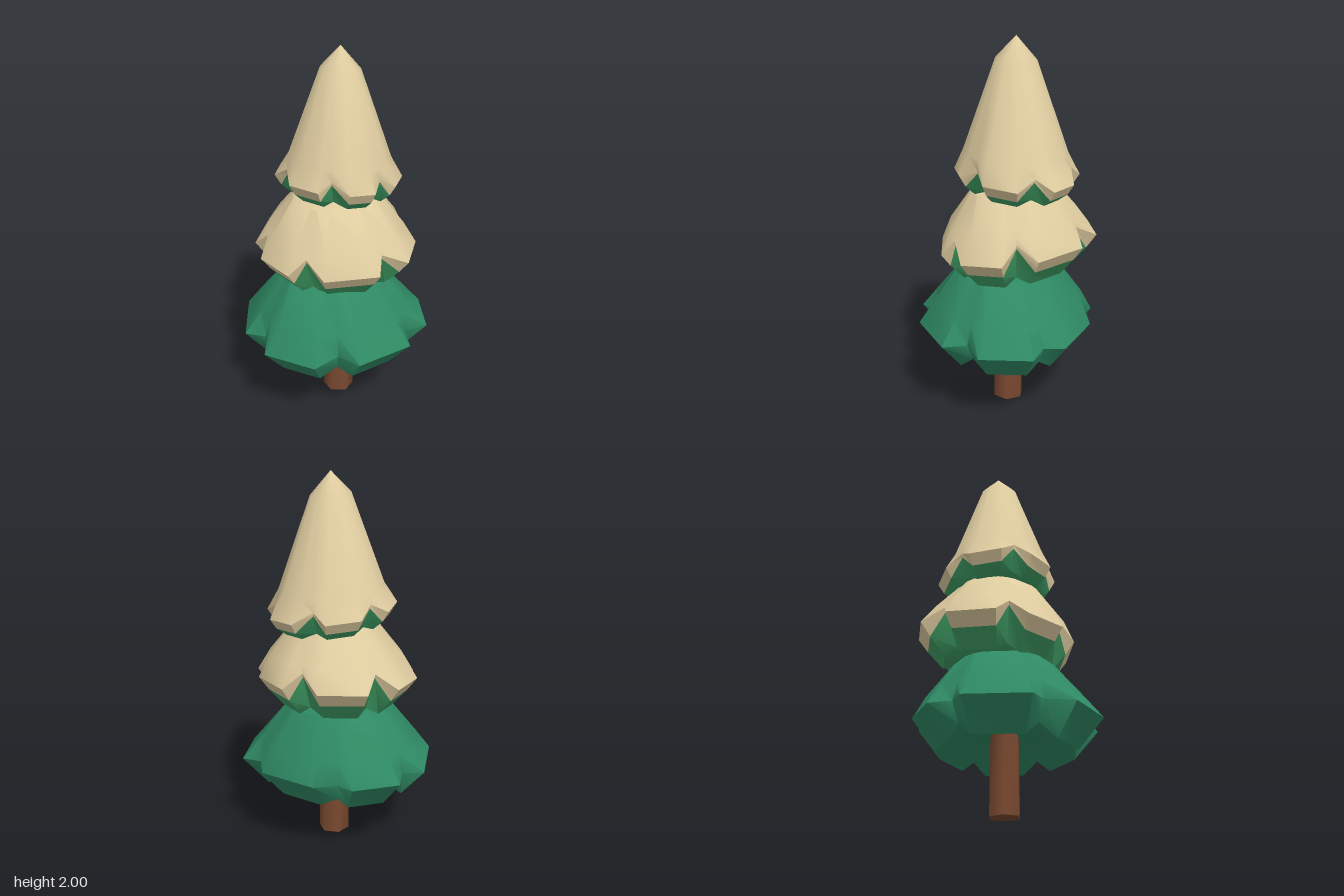
import * as THREE from 'three';
import { toCreasedNormals } from 'three/addons/utils/BufferGeometryUtils.js';

const paint = (name, color) => {
  const m = new THREE.MeshStandardMaterial({ color });
  m.name = name;
  return m;
};

// Petal outlines as x, z: two corners then a notch, six times, counter-clockwise from above
const lowerOutline = [
  [0.01, 0.5], [0.29, 0.405], [0.305, 0.25], [0.435, 0.22], [0.505, -0.1], [0.4, -0.18],
  [0.44, -0.32], [0.23, -0.505], [0.12, -0.45], [0.015, -0.505], [-0.28, -0.375], [-0.35, -0.27],
  [-0.425, -0.23], [-0.505, 0.01], [-0.415, 0.09], [-0.46, 0.205], [-0.215, 0.44], [-0.1, 0.39],
];
const middleOutline = [
  [-0.315, -0.365], [-0.45, -0.155], [-0.37, -0.055], [-0.44, 0.04], [-0.3, 0.27], [-0.205, 0.26],
  [-0.16, 0.355], [0.06, 0.365], [0.11, 0.285], [0.23, 0.275], [0.4, 0.04], [0.355, -0.02],
  [0.42, -0.16], [0.31, -0.35], [0.2, -0.33], [0.145, -0.435], [-0.13, -0.455], [-0.17, -0.36],
];
const upperOutline = [
  [-0.26, -0.28], [-0.33, -0.115], [-0.29, -0.03], [-0.31, 0.065], [-0.205, 0.2], [-0.115, 0.195],
  [-0.04, 0.25], [0.13, 0.215], [0.155, 0.145], [0.255, 0.115], [0.31, -0.01], [0.265, -0.095],
  [0.295, -0.18], [0.205, -0.34], [0.1, -0.345], [0.035, -0.42], [-0.12, -0.39], [-0.18, -0.3],
];

// One ring: the outline scaled by f, blended towards a circle of radius r by "round"
function ring(tier, { y, notchY = y, f = 1, notchF = f, r = 0, round = 0 }) {
  const [cx, cz] = tier.center;
  return tier.outline.map(([x, z], i) => {
    const notch = i % 3 === 2;
    const dx = x - cx, dz = z - cz, length = Math.hypot(dx, dz);
    const size = THREE.MathUtils.lerp(length * (notch ? notchF : f), r, round) / length;
    const px = dx * size, pz = dz * size;
    return [cx + px, (notch ? notchY : y) + tier.tilt[0] * px + tier.tilt[1] * pz, cz + pz];
  });
}

// Skin neighbouring rings, from the top down and back in underneath
function skin(name, tier, levels, material) {
  const rings = levels.map((level) => ring(tier, level));
  const n = tier.outline.length;
  const index = [];
  for (let k = 0; k < rings.length - 1; k++) {
    const isPoint = (l) => l.round === 1 && !l.r;
    for (let i = 0; i < n; i++) {
      const j = (i + 1) % n;
      const a = k * n + i, b = a + n, c = (k + 1) * n + j, d = k * n + j;
      if (!isPoint(levels[k + 1])) index.push(a, b, c);
      if (!isPoint(levels[k])) index.push(a, c, d);
    }
  }
  const geometry = new THREE.BufferGeometry();
  geometry.setAttribute('position', new THREE.Float32BufferAttribute(rings.flat(2), 3));
  geometry.setIndex(index);
  const mesh = new THREE.Mesh(toCreasedNormals(geometry, 0.85), material);
  mesh.name = name;
  return mesh;
}

const point = (y) => ({ y, r: 0, round: 1 });
const circle = (y, r) => ({ y, r, round: 1 });

export function createModel() {
  const tree = new THREE.Group();
  tree.name = 'snowyTree';
  const bark = paint('bark brown', 0x7a4930);
  const needles = paint('deep green', 0x2f8a64);
  const underNeedles = paint('light green', 0x40a066);
  const snow = paint('cream snow', 0xdfcca0);

  // Trunk
  const trunk = new THREE.Mesh(
    toCreasedNormals(new THREE.CylinderGeometry(0.08, 0.084, 0.45, 6), 1.1), bark);
  trunk.name = 'trunk';
  trunk.rotation.y = 0.25;
  trunk.position.set(0.025, 0.225, -0.045);
  tree.add(trunk);

  // Lower skirt of branches
  const lower = { outline: lowerOutline, center: [0, -0.025], tilt: [0, 0] };
  tree.add(skin('lowerBranches', lower, [
    point(0.79), circle(0.77, 0.27),
    { y: 0.58, f: 0.86, r: 0.41, round: 0.6 },
    { y: 0.46, notchY: 0.47 },
    { y: 0.305, notchY: 0.37, f: 0.74, notchF: 0.88 },
    circle(0.4, 0.2), point(0.42),
  ], needles));

  // Middle skirt: snow above, needles tucked in below
  const middle = { outline: middleOutline, center: [-0.005, -0.05], tilt: [-0.06, -0.06] };
  const middleEdge = { y: 0.86, notchY: 0.99, f: 0.88, notchF: 0.98 };
  tree.add(skin('middleSnow', middle, [
    point(1.23), circle(1.22, 0.225),
    { y: 1.05, f: 0.84, r: 0.36, round: 0.6 },
    { y: 0.93, notchY: 1.01 },
    middleEdge,
  ], snow));
  tree.add(skin('middleBranches', middle, [
    middleEdge,
    { y: 0.77, notchY: 0.81, f: 0.69, notchF: 0.78 },
    point(0.83),
  ], underNeedles));

  // Upper cone: snow cap above, needles tucked in below
  const upper = { outline: upperOutline, center: [0, -0.075], tilt: [0, 0.09] };
  const upperEdge = { y: 1.255, notchY: 1.345, f: 0.9, notchF: 0.98 };
  tree.add(skin('snowCap', upper, [
    point(2), circle(1.885, 0.105),
    { y: 1.42, f: 0.9, r: 0.265, round: 0.8 },
    { y: 1.31, notchY: 1.365 },
    upperEdge,
  ], snow));
  tree.add(skin('upperBranches', upper, [
    upperEdge,
    { y: 1.21, notchY: 1.24, f: 0.74, notchF: 0.82 },
    point(1.24),
  ], underNeedles));

  return tree;
}
